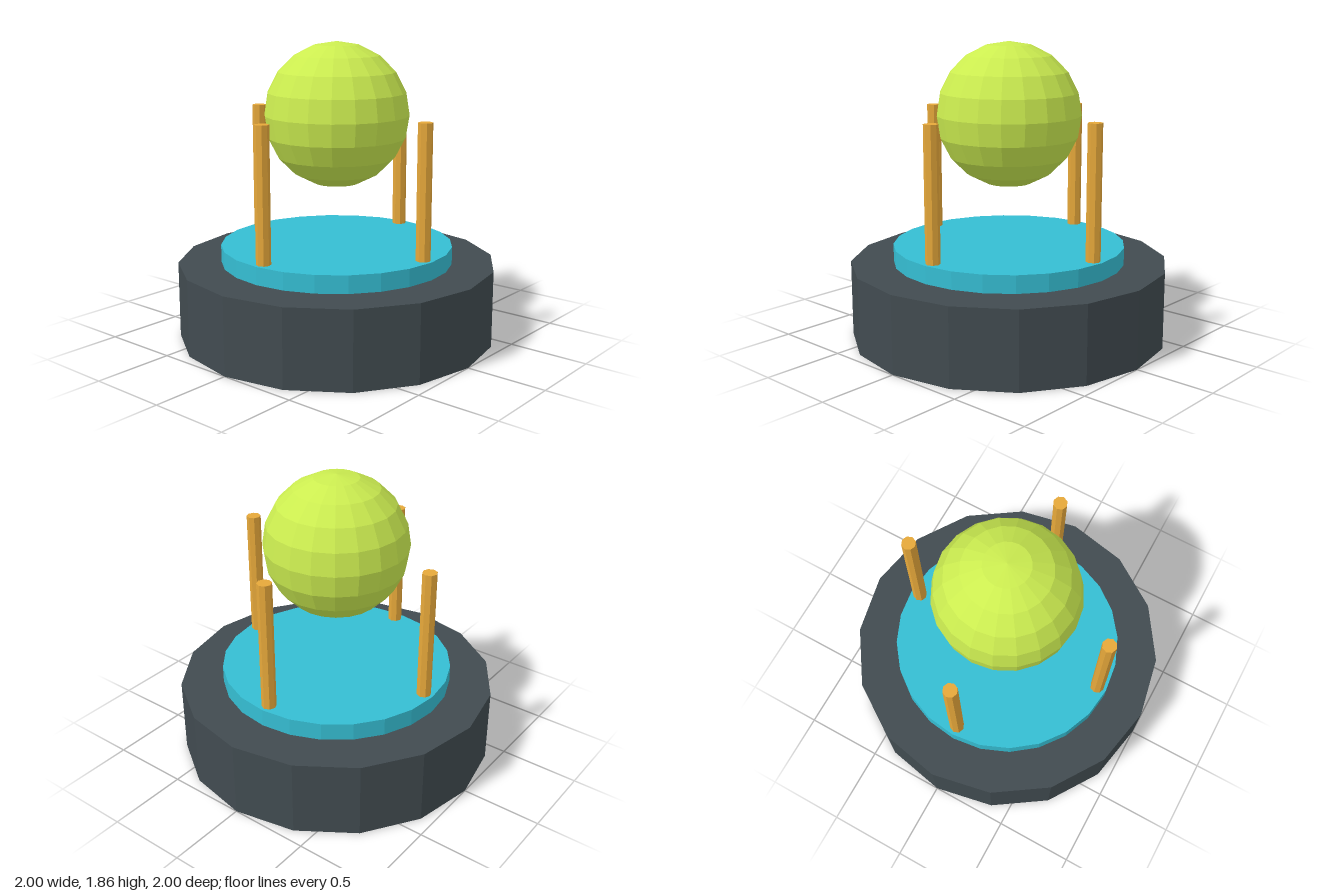
import * as THREE from 'three';

const paint = (color) => new THREE.MeshStandardMaterial({ color, flatShading: true });

export function createModel() {
  const model = new THREE.Group();
  model.name = 'orbPedestal';

  const add = (name, geometry, material, x, y, z) => {
    const mesh = new THREE.Mesh(geometry, material);
    mesh.name = name;
    mesh.position.set(x, y, z);
    model.add(mesh);
  };

  // Upright faceted drum standing between two heights
  const addDrum = (name, radius, bottom, top, sides, material, x = 0, z = 0) =>
    add(name, new THREE.CylinderGeometry(radius, radius, top - bottom, sides),
      material, x, (bottom + top) / 2, z);

  // Heavy base and the raised disc on it
  addDrum('base', 1, 0, 0.48, 16, paint(0x414b50));
  addDrum('disc', 0.73, 0.48, 0.59, 24, paint(0x35bdd2));

  // Four posts around the rim of the disc
  const postMaterial = paint(0xe6a83a);
  for (let i = 0; i < 4; i++) {
    const angle = (i * Math.PI) / 2;
    addDrum(`post${i + 1}`, 0.045, 0.59, 1.415, 8, postMaterial,
      0.667 * Math.cos(angle), 0.667 * Math.sin(angle));
  }

  // Floating faceted orb
  add('orb', new THREE.SphereGeometry(0.45, 20, 10), paint(0xcbec50), 0, 1.405, 0);

  return model;
}
